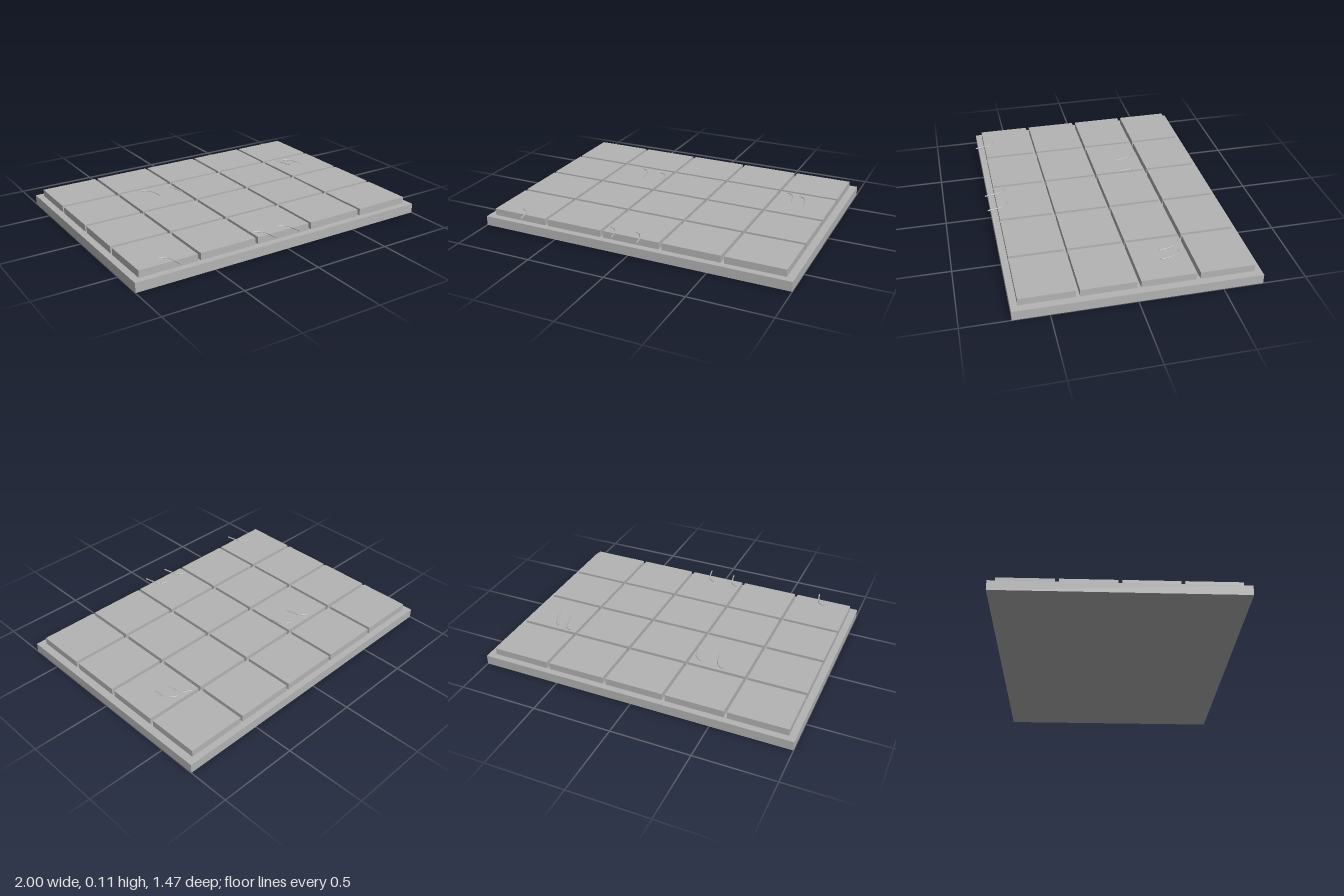
import * as THREE from 'three';

export function createModel() {
  const model = new THREE.Group();
  const stone = new THREE.MeshStandardMaterial({ color: 0xb4b4b4 });
  stone.name = 'grey stone';

  const addMesh = (name, geometry, x, y, z) => {
    const mesh = new THREE.Mesh(geometry, stone);
    mesh.name = name;
    mesh.position.set(x, y, z);
    model.add(mesh);
  };

  // Base slab
  addMesh('baseSlab', new THREE.BoxGeometry(2, 0.06, 1.451), 0, 0.03, -0.0125);

  // Five by four grid of paving tiles
  const tile = new THREE.BoxGeometry(0.367, 0.044, 0.326);
  for (let col = 0; col < 5; col++) {
    for (let row = 0; row < 4; row++) {
      addMesh('tile', tile, -0.774 + col * 0.386, 0.082, -0.535 + row * 0.348);
    }
  }

  // Thin bent cracks lying on the tiles
  const bend = new THREE.CatmullRomCurve3([
    [0, 0], [0.03, 0.015], [0.05, 0.04], [0.06, 0.075], [0.071, 0.132],
  ].map(([x, z]) => new THREE.Vector3(x, 0, z)));
  const section = new THREE.Shape();
  section.absarc(0, 0, 0.0045, 0, Math.PI * 2);
  const crack = new THREE.ExtrudeGeometry(section, {
    steps: 14, curveSegments: 6, extrudePath: bend,
  });
  const starts = [
    [-0.797, 0.603], [-0.167, 0.603], [0.001, 0.603],
    [-0.424, -0.327], [-0.275, -0.307], [0.63, -0.336], [0.717, -0.317],
  ];
  for (const [x, z] of starts) addMesh('crack', crack, x, 0.105, z);

  return model;
}
